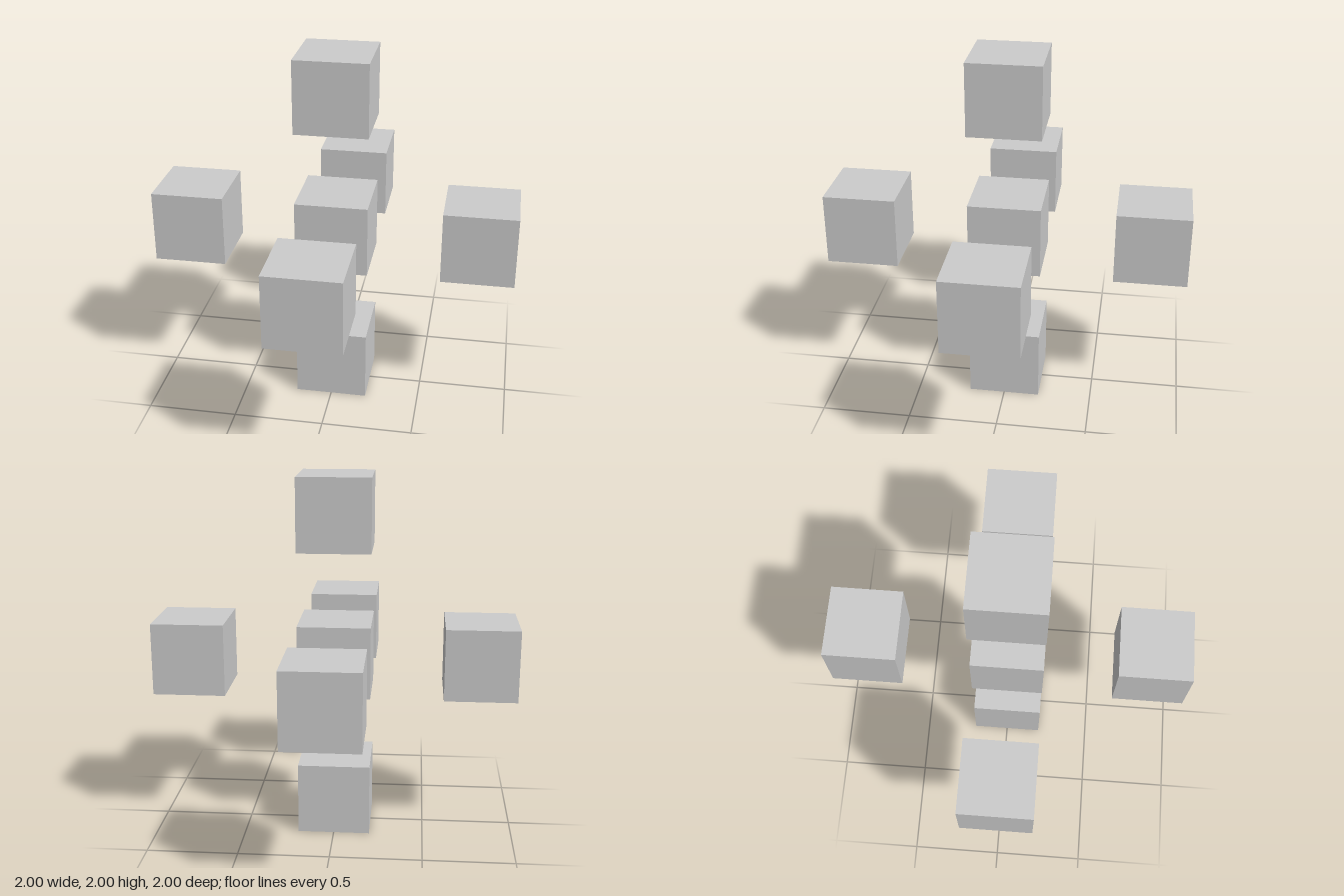
import * as THREE from 'three';

const SIZE = 0.4;    // edge of each cube
const SPACING = 0.8; // centre cube to each outer cube

// Direction of each cube from the centre
const CUBES = {
  centreCube: [0, 0, 0],
  leftCube: [1, 0, 0],
  rightCube: [-1, 0, 0],
  topCube: [0, 1, 0],
  bottomCube: [0, -1, 0],
  frontCube: [0, 0, 1],
  backCube: [0, 0, -1],
};

export function createModel() {
  const model = new THREE.Group();
  model.name = 'cubeCluster';
  const geometry = new THREE.BoxGeometry(SIZE, SIZE, SIZE);
  const material = new THREE.MeshStandardMaterial({ color: 0xcccccc });

  // Seven equal cubes: one in the middle and one along each axis direction
  for (const [name, direction] of Object.entries(CUBES)) {
    const cube = new THREE.Mesh(geometry, material);
    cube.name = name;
    cube.position.fromArray(direction).multiplyScalar(SPACING);
    cube.position.y += 1;
    model.add(cube);
  }
  return model;
}
